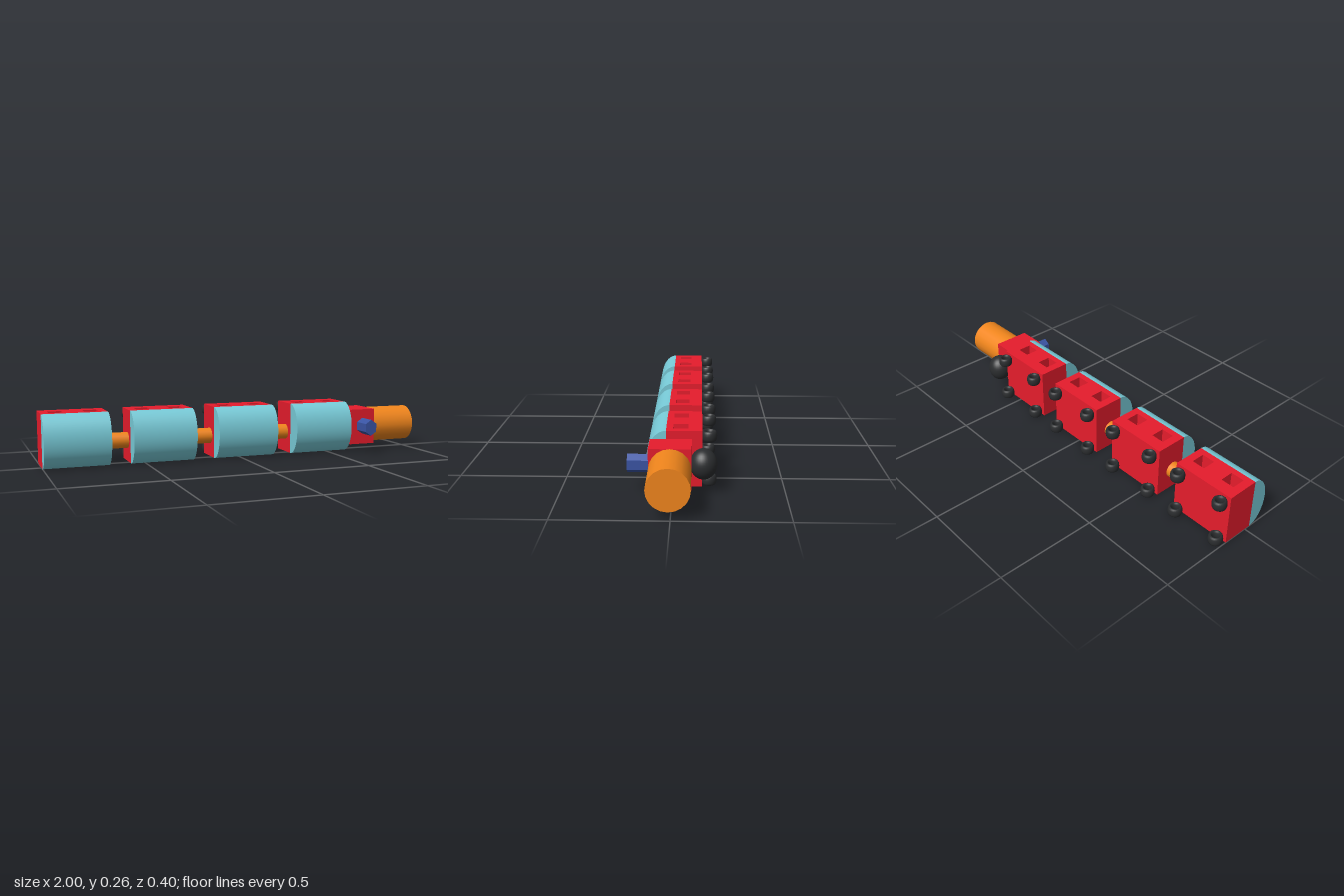
import * as THREE from 'three';

const material = (color) => new THREE.MeshStandardMaterial({ color });

export function createModel() {
  const red = material(0xe61c2c);
  const teal = material(0x78cbd8);
  const orange = material(0xf0851c);
  const blue = material(0x3a54a4);
  const black = material(0x2b2d2f);

  const model = new THREE.Group();
  model.name = 'toyTrain';

  const add = (parent, name, geometry, mat, x = 0, y = 0, z = 0) => {
    const mesh = new THREE.Mesh(geometry, mat);
    mesh.name = name;
    mesh.position.set(x, y, z);
    parent.add(mesh);
    return mesh;
  };

  const carLength = 0.32, carHeight = 0.263;
  const backZ = -0.13, frontZ = 0.032;

  // Car block with two square shafts running vertically through it;
  // outline runs counter-clockwise, shafts clockwise
  const rectangle = (path, x0, x1, z0, z1) =>
    path.setFromPoints([[x0, z0], [x1, z0], [x1, z1], [x0, z1]]
      .map(([x, z]) => new THREE.Vector2(x, -z)));
  const plan = rectangle(new THREE.Shape(), -carLength / 2, carLength / 2, frontZ, backZ);
  for (const x of [-0.084, 0.087]) {
    plan.holes.push(rectangle(new THREE.Path(), x - 0.034, x + 0.034, -0.067, 0.001));
  }
  const blockGeometry = new THREE.ExtrudeGeometry(plan, { depth: carHeight, bevelEnabled: false });
  blockGeometry.rotateX(-Math.PI / 2);

  // Half-elliptical shell on the front of each car
  const shellGeometry = new THREE.CylinderGeometry(1, 1, carLength, 32, 1, false, 0, Math.PI);
  shellGeometry.rotateY(-Math.PI / 2).rotateZ(Math.PI / 2);
  shellGeometry.scale(1, carHeight / 2, 0.088);

  // Wheel: a ring stretched along its upright axis
  const wheelHalf = 0.024, tube = 0.0095;
  const wheelGeometry = new THREE.TorusGeometry(0.0255, tube, 12, 24);
  wheelGeometry.rotateX(Math.PI / 2).scale(1, wheelHalf / tube, 1);

  // Four cars
  const carCenters = [-0.84, -0.411, 0.025, 0.453];
  carCenters.forEach((x, i) => {
    const car = new THREE.Group();
    car.name = `car${i + 1}`;
    car.position.x = x;
    model.add(car);
    add(car, 'block', blockGeometry, red);
    add(car, 'roundedFront', shellGeometry, teal, 0, carHeight / 2, frontZ);
    for (const wx of [-0.125, 0.123]) {
      for (const wy of [wheelHalf, 0.231]) add(car, 'wheel', wheelGeometry, black, wx, wy, -0.162);
    }
  });

  // Couplings between neighbouring cars
  for (let i = 0; i < 3; i++) {
    const gap = carCenters[i + 1] - carCenters[i] - carLength;
    const rod = new THREE.CylinderGeometry(0.04, 0.04, gap, 20).rotateZ(Math.PI / 2);
    add(model, 'coupling', rod, orange, (carCenters[i] + carCenters[i + 1]) / 2, 0.108, -0.035);
  }

  // Engine: cab, boiler, hexagonal chimney and ball wheel
  const engine = new THREE.Group();
  engine.name = 'engine';
  model.add(engine);
  add(engine, 'cab', new THREE.BoxGeometry(0.144, 0.187, 0.188), red, 0.685, 0.132, 0.01);
  const boiler = new THREE.CylinderGeometry(0.094, 0.094, 0.244, 20).rotateZ(Math.PI / 2);
  add(engine, 'boiler', boiler, orange, 0.878, 0.132, 0.01);
  const chimney = new THREE.CylinderGeometry(0.0425, 0.0425, 0.095, 6).toNonIndexed();
  chimney.computeVertexNormals();
  chimney.rotateX(Math.PI / 2).scale(0.85, 1, 1);
  add(engine, 'chimney', chimney, blue, 0.685, 0.137, 0.1515);
  const ball = new THREE.SphereGeometry(1, 32, 20).scale(0.061, 0.07, 0.061);
  add(engine, 'ballWheel', ball, black, 0.675, 0.132, -0.136);

  return model;
}
